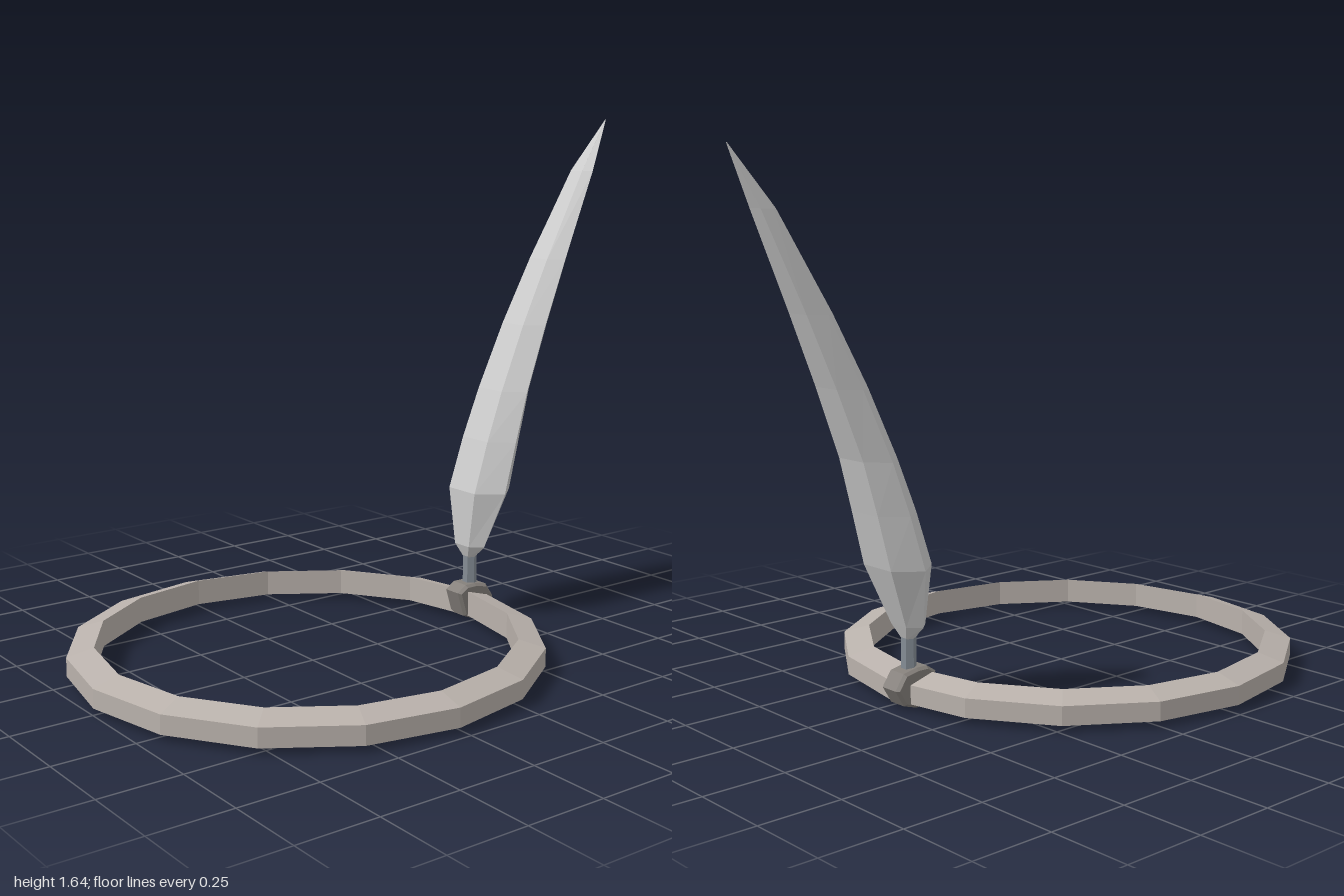
import * as THREE from 'three';

const material = (color) => new THREE.MeshStandardMaterial({ color, flatShading: true });

// Skin a stack of six-sided sections [y, z centre, half width, half depth]
function loft(sections, x) {
  const sides = 6, positions = [], indices = [];
  for (const [y, z, w, d] of sections) {
    for (let k = 0; k < sides; k++) {
      const a = (k / sides) * Math.PI * 2;
      positions.push(x + Math.cos(a) * w, y, z + Math.sin(a) * d / Math.sin(Math.PI / 3));
    }
  }
  for (let i = 0; i < sections.length - 1; i++) {
    for (let k = 0; k < sides; k++) {
      const a = i * sides + k, b = i * sides + (k + 1) % sides;
      indices.push(a, a + sides, b, b, a + sides, b + sides);
    }
  }
  const geometry = new THREE.BufferGeometry();
  geometry.setAttribute('position', new THREE.Float32BufferAttribute(positions, 3));
  geometry.setIndex(indices);
  const flat = geometry.toNonIndexed();
  flat.computeVertexNormals();
  return flat;
}

export function createModel() {
  const model = new THREE.Group();
  const add = (name, geometry, color) => {
    const mesh = new THREE.Mesh(geometry, material(color));
    mesh.name = name;
    model.add(mesh);
    return mesh;
  };
  const featherX = -0.04;

  // Sixteen-sided headband with a sloping top
  const profile = [[0.645, 0.018], [0.727, 0.018], [0.727, 0.076], [0.645, 0.1], [0.645, 0.018]];
  const band = new THREE.LatheGeometry(profile.map(([r, y]) => new THREE.Vector2(r, y)), 16);
  add('headband', band, 0xb9b1ab).position.z = 0.27;

  // Faceted knot wrapped round the back of the band, extruded along x
  const outline = [[0.34, 0.1], [0.37, 0.12], [0.41, 0.12], [0.46, 0.11],
    [0.49, 0.065], [0.46, 0.015], [0.41, 0.0], [0.365, 0.018]];
  const centre = [0.41, 0.06], shrink = 0.88;
  const shape = new THREE.Shape(outline.map(([z, y]) => new THREE.Vector2(
    centre[0] + (z - centre[0]) * shrink, centre[1] + (y - centre[1]) * shrink)));
  const knot = new THREE.ExtrudeGeometry(shape, {
    depth: 0.06, bevelThickness: 0.01, bevelSize: 0.008, bevelSegments: 1,
  });
  knot.rotateY(Math.PI / 2);
  add('knot', knot, 0x85807b).position.x = featherX - 0.03;

  // Quill joining knot and feather
  const quill = new THREE.CylinderGeometry(0.023, 0.023, 0.16, 6);
  quill.rotateY(Math.PI / 6);
  add('quill', quill, 0x848c94).position.set(featherX, 0.15, -0.415);

  // Feather vane, curving backwards to a point
  add('feather', loft([
    [0.205, -0.415, 0.02, 0.018],
    [0.25, -0.416, 0.07, 0.036],
    [0.435, -0.453, 0.128, 0.075],
    [0.6, -0.502, 0.123, 0.069],
    [0.76, -0.556, 0.114, 0.06],
    [0.97, -0.645, 0.1, 0.053],
    [1.18, -0.745, 0.083, 0.043],
    [1.465, -0.893, 0.052, 0.024],
    [1.635, -1.0, 0.001, 0.001],
  ], featherX), 0xcccccc);

  return model;
}
